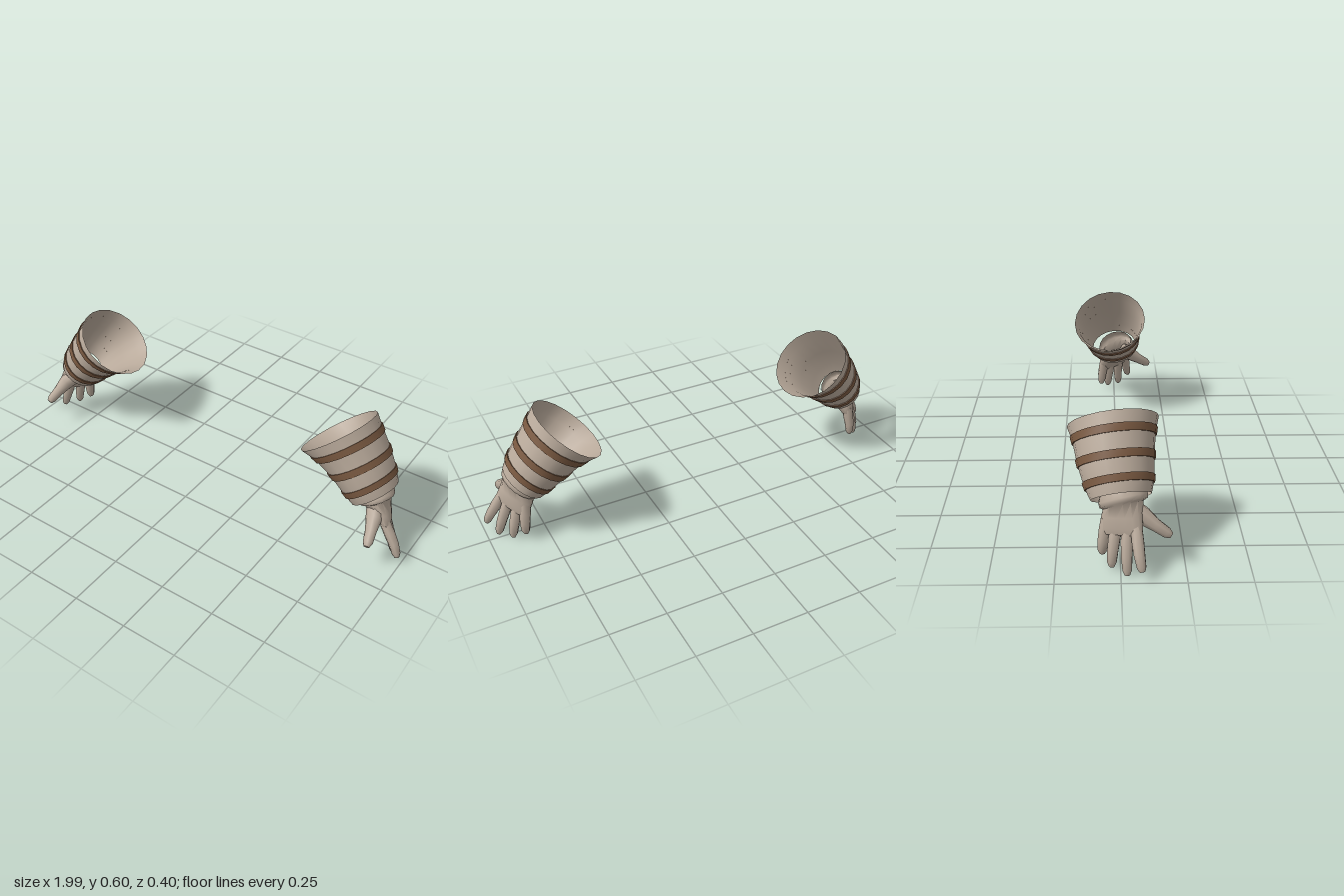
import * as THREE from 'three';
import { toCreasedNormals } from 'three/addons/utils/BufferGeometryUtils.js';

const V = (x, y, z) => new THREE.Vector3(x, y, z);

// Skin over elliptical rings {c, u, v}; side = -1 mirrors in x
function loft(rings, sides, side, capStart, capEnd) {
  const pos = [], index = [];
  const put = p => pos.push(p.x * side, p.y, p.z) / 3 - 1;
  const tri = (a, b, c) => (side > 0 ? index.push(a, b, c) : index.push(a, c, b));
  for (const r of rings) {
    for (let j = 0; j < sides; j++) {
      const a = (j / sides) * Math.PI * 2;
      put(r.c.clone().addScaledVector(r.u, Math.cos(a)).addScaledVector(r.v, Math.sin(a)));
    }
  }
  for (let i = 0; i < rings.length - 1; i++) {
    for (let j = 0; j < sides; j++) {
      const k = (j + 1) % sides, a = i * sides, b = a + sides;
      tri(a + j, a + k, b + j);
      tri(a + k, b + k, b + j);
    }
  }
  const cap = (i, flip) => {
    const m = put(rings[i].c), a = i * sides;
    for (let j = 0; j < sides; j++) {
      const k = (j + 1) % sides;
      flip ? tri(m, a + k, a + j) : tri(m, a + j, a + k);
    }
  };
  if (capStart) cap(0, true);
  if (capEnd) cap(rings.length - 1, false);
  const g = new THREE.BufferGeometry();
  g.setAttribute('position', new THREE.Float32BufferAttribute(pos, 3));
  g.setIndex(index);
  return toCreasedNormals(g, 0.95);
}

// Sleeve rings: t, inner low point (x, y), outer high point (x, y), z centre, z radius
const SLEEVE = [
  [0, 0.473, 0.374, 0.745, 0.603, -0.025, 0.18],
  [0.2, 0.535, 0.358, 0.778, 0.55, -0.021, 0.163],
  [0.5, 0.62, 0.305, 0.83, 0.467, -0.016, 0.149],
  [0.8, 0.7, 0.24, 0.875, 0.388, -0.003, 0.134],
  [1, 0.738, 0.208, 0.897, 0.335, 0.003, 0.117],
];
function sleeveRing(t, grow = 0) {
  let i = 0;
  while (i < SLEEVE.length - 2 && t > SLEEVE[i + 1][0]) i++;
  const a = SLEEVE[i], b = SLEEVE[i + 1], f = (t - a[0]) / (b[0] - a[0]);
  const [, px, py, qx, qy, zc, rz] = a.map((n, k) => n + (b[k] - n) * f);
  const u = V((qx - px) / 2, (qy - py) / 2, 0);
  u.setLength(u.length() + grow);
  return {
    c: V((px + qx) / 2, (py + qy) / 2, zc),
    u,
    v: V(-0.07, 0.09, 1).multiplyScalar(rz + grow),
  };
}

// Direction across the hand, from little finger to index finger
const ACROSS = V(0.54, 0, 0.84).normalize();

// Ring square to direction d, with half width and half thickness
function handRing(c, d, hw, ht, across = ACROSS) {
  const n = d.clone().normalize();
  const u = across.clone().addScaledVector(n, -across.dot(n)).normalize();
  const v = n.clone().cross(u);
  return { c, u: u.multiplyScalar(hw), v: v.multiplyScalar(ht) };
}

// Tapered finger along a few points, with a blunt tip
function finger(points, radii, across) {
  return points.map((p, i) => {
    const d = points[Math.min(i + 1, points.length - 1)].clone().sub(points[Math.max(i - 1, 0)]);
    return handRing(p, d, radii[i], radii[i] * 0.95, across);
  });
}

// Base and tip of each finger
const FINGERS = [
  ['indexFinger', V(0.914, 0.165, 0.062), V(0.985, 0.046, 0.08)],
  ['middleFinger', V(0.892, 0.158, 0.025), V(0.95, 0.009, 0.025)],
  ['ringFinger', V(0.862, 0.158, -0.018), V(0.902, 0.016, -0.034)],
  ['littleFinger', V(0.838, 0.165, -0.055), V(0.852, 0.044, -0.07)],
];

export function createModel() {
  const model = new THREE.Group();
  const cloth = new THREE.MeshStandardMaterial({ color: 0xb8a99a, side: THREE.DoubleSide });
  cloth.name = 'paleCloth';
  const brown = new THREE.MeshStandardMaterial({ color: 0x785840, side: THREE.DoubleSide });
  brown.name = 'brownBand';

  for (const side of [1, -1]) {
    const arm = new THREE.Group();
    arm.name = side > 0 ? 'leftGlove' : 'rightGlove';
    model.add(arm);
    const add = (name, geometry, material) => {
      const m = new THREE.Mesh(geometry, material);
      m.name = name;
      arm.add(m);
    };

    // Open flared sleeve
    add('sleeve', loft([0, 0.2, 0.5, 0.8, 1].map(t => sleeveRing(t)), 20, side), cloth);

    // Three raised bands
    for (const t of [0.21, 0.51, 0.8]) {
      const a = t - 0.05, b = t + 0.05;
      const rings = [sleeveRing(a), sleeveRing(a, 0.005), sleeveRing(b, 0.005), sleeveRing(b)];
      add('sleeveBand', loft(rings, 20, side), brown);
    }

    // Wrist with a rolled lip, flattening into the palm
    const tilt = V(0.5, -0.82, 0.2), along = V(0.42, -0.9, 0);
    add('palm', loft([
      handRing(V(0.805, 0.295, 0.005), tilt, 0.088, 0.08),
      handRing(V(0.822, 0.268, 0.01), tilt, 0.1, 0.085),
      handRing(V(0.83, 0.253, 0.012), tilt, 0.098, 0.08),
      handRing(V(0.834, 0.246, 0.01), tilt, 0.084, 0.062),
      handRing(V(0.855, 0.205, 0.005), along, 0.088, 0.045),
      handRing(V(0.875, 0.168, 0.003), along, 0.092, 0.032),
      handRing(V(0.884, 0.146, 0.003), along, 0.084, 0.02),
    ], 16, side, false, true), cloth);

    // Four fingers, bowed slightly outward
    for (const [name, base, tip] of FINGERS) {
      const at = (f, bow) => base.clone().lerp(tip, f).add(V(0.84, 0.2, -0.5).multiplyScalar(bow));
      const points = [at(-0.2, 0), at(0.2, 0.003), at(0.55, 0.005), at(0.88, 0.002), at(1, 0)];
      add(name, loft(finger(points, [0.024, 0.025, 0.023, 0.019, 0.011]), 8, side, true, true), cloth);
    }

    // Thumb, thick at the root
    const thumb = [V(0.848, 0.235, 0.045), V(0.862, 0.212, 0.09), V(0.874, 0.182, 0.132),
      V(0.885, 0.154, 0.176), V(0.888, 0.144, 0.192)];
    add('thumb', loft(finger(thumb, [0.043, 0.036, 0.026, 0.022, 0.013], V(0, 1, 0)), 8, side, true, true), cloth);
  }
  return model;
}
